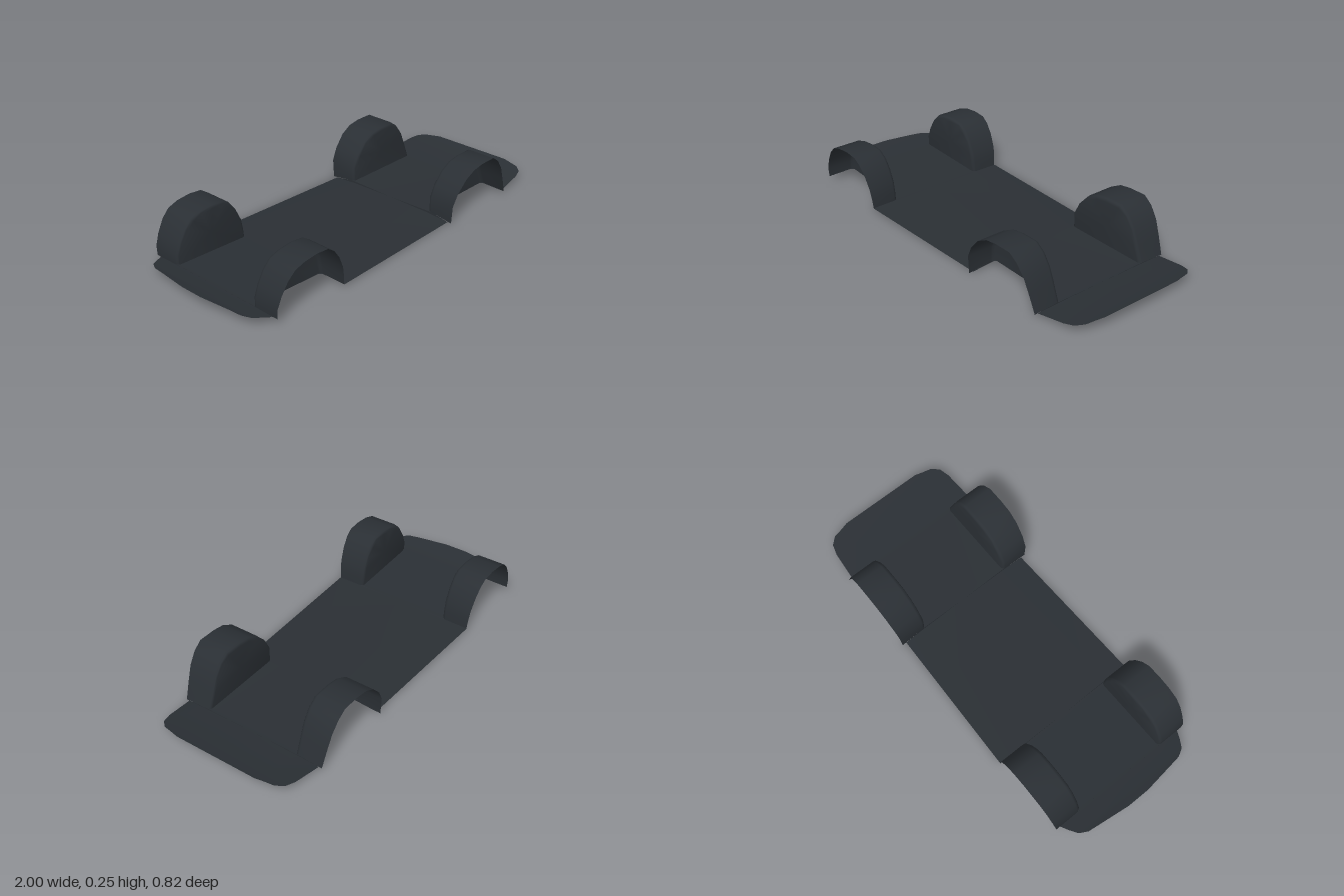
import * as THREE from 'three';
import { toCreasedNormals } from 'three/addons/utils/BufferGeometryUtils.js';

const material = new THREE.MeshStandardMaterial({ color: 0x2a2f34, side: THREE.DoubleSide });

// Skin a grid of points: rows of equal length, optionally closed by a fan on the last row
function skin(rows, capCentre) {
  const n = rows[0].length;
  const positions = rows.flat(2);
  const index = [];
  for (let r = 0; r < rows.length - 1; r++) {
    for (let i = 0; i < n - 1; i++) {
      const a = r * n + i, b = a + 1, c = a + n, d = c + 1;
      index.push(a, b, c, b, d, c);
    }
  }
  if (capCentre) {
    const last = (rows.length - 1) * n, centre = rows.length * n;
    positions.push(...capCentre);
    for (let i = 0; i < n; i++) index.push(last + i, last + (i + 1) % n, centre);
  }
  const geometry = new THREE.BufferGeometry();
  geometry.setAttribute('position', new THREE.Float32BufferAttribute(positions, 3));
  geometry.setIndex(index);
  return toCreasedNormals(geometry, 0.7);
}

// Floor cross-sections: x, half width, height at the middle, height at the edge
const INNER = 0.245;
const floorSections = [
  [-1.0, 0.06, 0.06, 0.06],
  [-0.98, 0.22, 0.056, 0.056],
  [-0.972, 0.28, 0.054, 0.052],
  [-0.95, 0.32, 0.049, 0.047],
  [-0.91, 0.345, 0.042, 0.04],
  [-0.87, 0.365, 0.035, 0.032],
  [-0.87, 0.265, 0.035, 0.035],
  [-0.855, INNER, 0.034, 0.034],
  [-0.485, INNER, 0.014, 0.016],
  [-0.462, 0.265, 0.013, 0.015],
  [-0.46, 0.39, 0.013, 0.012],
  [0.31, 0.367, 0.016, 0.003],
  [0.31, 0.265, 0.016, 0.022],
  [0.33, INNER, 0.016, 0.022],
  [0.735, INNER, 0.016, 0.018],
  [0.755, 0.265, 0.017, 0.018],
  [0.755, 0.372, 0.017, 0.012],
  [0.9, 0.36, 0.038, 0.034],
  [0.95, 0.345, 0.046, 0.042],
  [0.98, 0.31, 0.052, 0.049],
  [0.99, 0.26, 0.054, 0.053],
  [1.0, 0.22, 0.056, 0.056],
];

function floorGeometry() {
  const rows = floorSections.map(([x, half, mid, edge]) => {
    const inner = Math.min(0.24, half * 0.95);
    const innerY = mid + (edge - mid) * (half > 0.3 ? 0.3 : 0.9);
    return [[x, edge, half], [x, innerY, inner], [x, mid, 0], [x, innerY, -inner], [x, edge, -half]];
  });
  return skin(rows);
}

// Arch outlines (x, y), from the front foot over the top to the rear foot
const frontArch = [[-0.87, 0.034], [-0.87, 0.08], [-0.85, 0.135], [-0.815, 0.195], [-0.775, 0.233],
  [-0.72, 0.25], [-0.65, 0.257], [-0.58, 0.25], [-0.54, 0.222], [-0.505, 0.175], [-0.475, 0.11],
  [-0.465, 0.06], [-0.46, 0.013]];
const rearArch = [[0.31, 0.022], [0.31, 0.095], [0.34, 0.155], [0.395, 0.215], [0.455, 0.247],
  [0.52, 0.257], [0.61, 0.257], [0.655, 0.225], [0.695, 0.17], [0.725, 0.095], [0.755, 0.017]];

// Wheel well: arch swept inward, rounded over into a flat inner wall
function wellGeometry(arch, outerFeet) {
  const first = arch[0], last = arch[arch.length - 1];
  const cx = (first[0] + last[0]) / 2, halfLength = (last[0] - first[0]) / 2;
  const isFoot = i => i === 0 || i === arch.length - 1;
  const outer = arch.map(([x, y], i) => {
    const footY = i === 0 ? outerFeet[0] : outerFeet[1];
    return [x, isFoot(i) ? footY : y, 0.387 + 0.021 * Math.min(1, y / 0.25)];
  });
  const rows = [outer];
  const radius = 0.018;
  for (let s = 0; s <= 4; s++) {
    const angle = s / 4 * Math.PI / 2;
    const inset = radius * (1 - Math.cos(angle));
    const z = INNER + radius * (1 - Math.sin(angle));
    const k = 1 - inset / halfLength;
    rows.push(arch.map(([x, y], i) => [
      cx + (x - cx) * k,
      isFoot(i) ? y : y - inset * Math.max(0, (y - 0.1) / 0.157),
      z,
    ]));
  }
  return skin(rows, [cx, 0.12, INNER]);
}

export function createModel() {
  const model = new THREE.Group();
  model.name = 'vehicleUnderbody';

  const floor = new THREE.Mesh(floorGeometry(), material);
  floor.name = 'floorPan';
  model.add(floor);

  // Four wheel wells, mirrored across the centre line
  const wells = [
    ['frontWheelWell', wellGeometry(frontArch, [0.032, 0.012])],
    ['rearWheelWell', wellGeometry(rearArch, [0.003, 0.012])],
  ];
  for (const [name, geometry] of wells) {
    for (const side of [1, -1]) {
      const well = new THREE.Mesh(geometry, material);
      well.name = name + (side > 0 ? 'Near' : 'Far');
      well.scale.z = side;
      model.add(well);
    }
  }
  return model;
}
